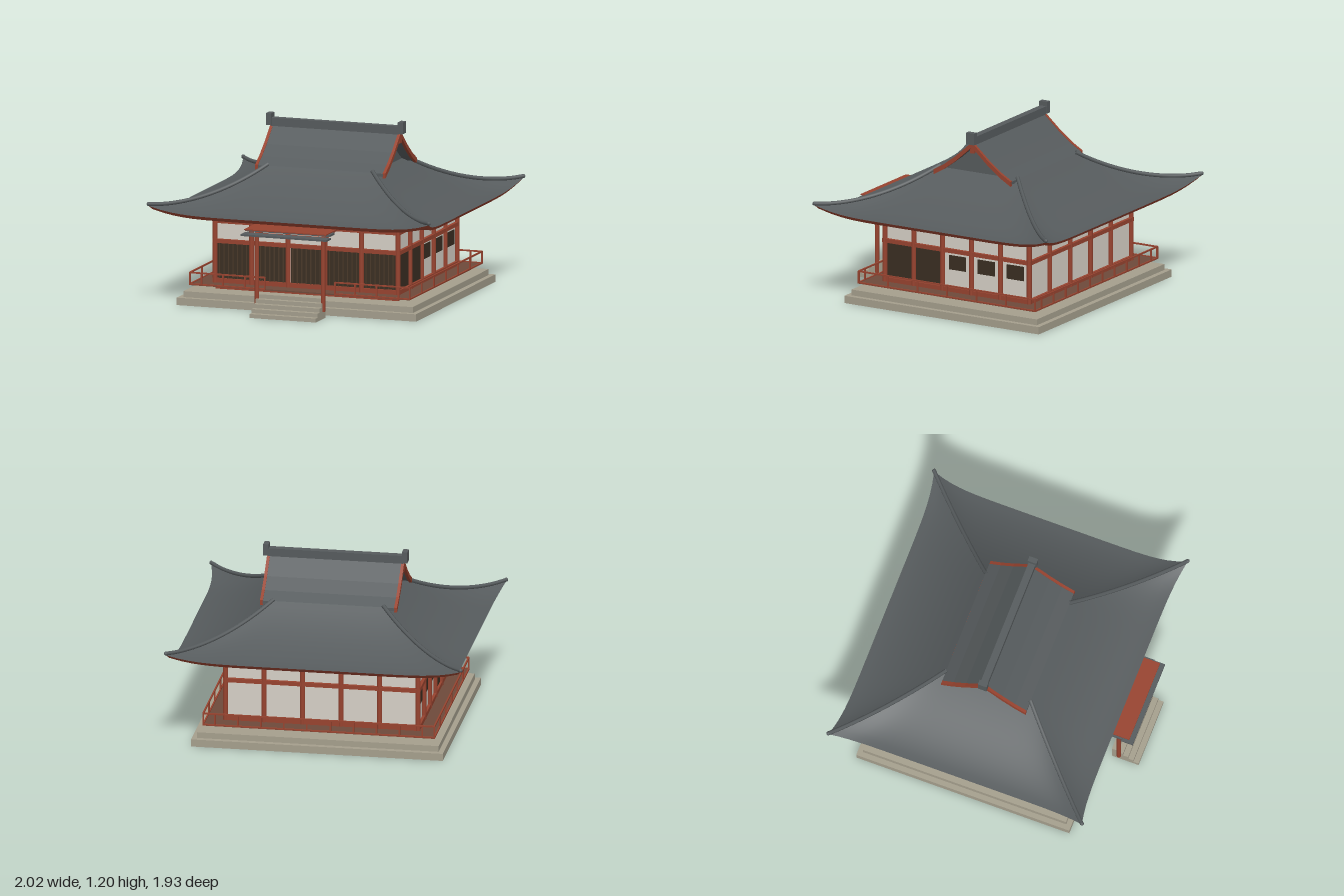
import * as THREE from 'three';

const mat = (name, color, side = THREE.FrontSide) => {
  const m = new THREE.MeshStandardMaterial({ color, side });
  m.name = name;
  return m;
};

export function createModel() {
  const root = new THREE.Group();
  root.name = 'templeHall';
  const hall = new THREE.Group();
  hall.name = 'mainHall';
  hall.position.z = -0.058;
  root.add(hall);

  const red = mat('vermilionWood', 0x98432f, THREE.DoubleSide);
  const tile = mat('roofTile', 0x565b5d, THREE.DoubleSide);
  const plaster = mat('plaster', 0xd6d0c6);
  const dark = mat('darkPanel', 0x3a2e22);
  const bar = mat('latticeBar', 0x4a3929);
  const stone = mat('stone', 0xa59f8d);
  const floor = mat('deckWood', 0x6e4a3a);

  const add = (name, geo, m, parent = hall) => {
    const mesh = new THREE.Mesh(geo, m);
    mesh.name = name;
    parent.add(mesh);
    return mesh;
  };
  // box given by its min and max corners
  const box = (name, m, x0, x1, y0, y1, z0, z1, parent = hall) => {
    const b = add(name, new THREE.BoxGeometry(x1 - x0, y1 - y0, z1 - z0), m, parent);
    b.position.set((x0 + x1) / 2, (y0 + y1) / 2, (z0 + z1) / 2);
    return b;
  };
  const block = (name, m, hx, hz, y0, y1) => box(name, m, -hx, hx, y0, y1, -hz, hz);
  const post = (name, m, x, y0, y1, z, r, parent = hall) => {
    const p = add(name, new THREE.CylinderGeometry(r, r, y1 - y0, 12), m, parent);
    p.position.set(x, (y0 + y1) / 2, z);
  };
  // four beams around a rectangle
  const frame = (name, m, hx, hz, y0, y1, t) => {
    for (const s of [-1, 1]) {
      box(name, m, -hx - t, hx + t, y0, y1, s * hz - t, s * hz + t);
      box(name, m, s * hx - t, s * hx + t, y0, y1, -hz, hz);
    }
  };

  // stone base, plinth and veranda deck
  block('baseLower', stone, 0.85, 0.758, 0, 0.05);
  block('baseUpper', stone, 0.815, 0.722, 0.05, 0.09);
  block('plinth', red, 0.65, 0.557, 0.09, 0.128);
  block('verandaDeck', floor, 0.78, 0.688, 0.127, 0.135);

  // walls, posts and beams
  const HX = 0.65, HZ = 0.5625, bayX = 0.26, bayZ = 0.225;
  block('walls', plaster, HX - 0.008, HZ - 0.008, 0.135, 0.575);
  for (let i = 0; i <= 5; i++) {
    for (const s of [-1, 1]) {
      post('wallPost', red, -HX + i * bayX, 0.13, 0.575, s * HZ, 0.017);
      if (i > 0 && i < 5) post('wallPost', red, s * HX, 0.13, 0.575, -HZ + i * bayZ, 0.017);
    }
  }
  frame('sillBeam', red, HX, HZ, 0.133, 0.165, 0.012);
  frame('middleBeam', red, HX, HZ, 0.403, 0.43, 0.014);
  frame('headBeam', red, HX, HZ, 0.538, 0.572, 0.013);
  block('eaveBeam', red, 0.69, 0.597, 0.568, 0.592);

  // lattice doors along the front
  for (let i = 0; i < 5; i++) {
    const cx = -HX + (i + 0.5) * bayX;
    box('latticeBack', dark, cx - 0.112, cx + 0.112, 0.165, 0.403, HZ - 0.01, HZ - 0.003);
    for (let k = 0; k < 7; k++) {
      const x = cx + (k - 3) * 0.032;
      box('latticeBar', bar, x - 0.004, x + 0.004, 0.165, 0.403, HZ - 0.004, HZ + 0.004);
    }
  }
  // side bays: two dark doors, then three windows
  for (const s of [-1, 1]) {
    for (let i = 0; i < 5; i++) {
      const cz = HZ - (i + 0.5) * bayZ, x = s * (HX - 0.006);
      const [w, y0, y1] = i < 2 ? [0.097, 0.165, 0.403] : [0.066, 0.285, 0.383];
      box(i < 2 ? 'sideDoor' : 'sideWindow', dark, x - 0.004, x + 0.004, y0, y1, cz - w, cz + w);
    }
  }

  // veranda railing, open at the front stairs
  const RX = 0.78, RZ = 0.688, t = 0.005;
  for (const y of [0.135, 0.213]) {
    for (const s of [-1, 1]) {
      box('sideRail', red, s * RX - t, s * RX + t, y - t, y + t, -RZ, RZ);
      box('frontRail', red, s < 0 ? -RX : 0.25, s < 0 ? -0.25 : RX, y - t, y + t, RZ - t, RZ + t);
    }
    box('backRail', red, -RX, RX, y - t, y + t, -RZ - t, -RZ + t);
  }
  const railPost = (x, z) => box('railPost', red, x - t, x + t, 0.13, 0.215, z - t, z + t);
  for (const s of [-1, 1]) {
    for (let i = 0; i <= 6; i++) railPost(s * RX, -RZ + (i * RZ) / 3);
    for (const x of [0.25, 0.39, 0.545, 0.7]) railPost(s * x, RZ);
    for (const x of [0.08, 0.235, 0.39, 0.545, 0.7]) railPost(s * x, -RZ);
  }

  // grid surface from a rule over u in -1..1 and v in 0..1
  const surface = (fn, nu, nv) => {
    const pos = [], idx = [];
    for (let j = 0; j <= nv; j++)
      for (let i = 0; i <= nu; i++) pos.push(...fn((2 * i) / nu - 1, j / nv));
    for (let j = 0; j < nv; j++)
      for (let i = 0; i < nu; i++) {
        const a = j * (nu + 1) + i, b = a + nu + 1;
        idx.push(a, b, a + 1, a + 1, b, b + 1);
      }
    const g = new THREE.BufferGeometry();
    g.setAttribute('position', new THREE.Float32BufferAttribute(pos, 3));
    g.setIndex(idx);
    g.computeVertexNormals();
    return g;
  };
  // a point on side k of a rectangle ring, with corners swept out and up
  const onSide = (k, u, hx, hz, y, flare) => {
    const c = Math.pow(Math.abs(u), 8) * flare;
    const x = hx + 0.04 * c, z = hz + 0.04 * c, h = y + 0.06 * c;
    return [[u * x, h, z], [x, h, -u * z], [-u * x, h, -z], [-x, h, u * z]][k];
  };
  const EX = 0.955, EZ = 0.8625, TX = 0.37, TZ = 0.3;
  const roofPoint = (k, u, v) =>
    onSide(k, u, TX + (EX - TX) * v, TZ + (EZ - TZ) * v, 0.628 + 0.267 * Math.pow(1 - v, 1.7), v * v);

  // lower hipped roof with fascia and soffit
  for (let k = 0; k < 4; k++) {
    add('lowerRoof', surface((u, v) => roofPoint(k, u, v), 32, 14), tile);
    add('fascia', surface((u, v) => onSide(k, u, EX - 0.02 * v, EZ - 0.02 * v, 0.628 - 0.024 * v, 1), 32, 1), red);
    add('soffit', surface((u, v) => {
      const w = 1 - v;
      return onSide(k, u, 0.66 + 0.275 * w, 0.57 + 0.2725 * w, 0.604 - 0.012 * v, w * w);
    }, 32, 8), red);
  }
  // hip ridges
  for (let k = 0; k < 4; k++) {
    const pts = [];
    for (let i = 0; i <= 10; i++) {
      const p = roofPoint(k, 1, i / 10);
      pts.push(new THREE.Vector3(p[0], p[1] + 0.012, p[2]));
    }
    add('hipRidge', new THREE.TubeGeometry(new THREE.CatmullRomCurve3(pts), 24, 0.014, 6), tile);
    const tip = add('hipRidgeTip', new THREE.SphereGeometry(0.014, 8, 6), tile);
    tip.position.copy(pts[10]);
  }

  // upper gable roof: curved cross-section run along x
  const outline = [[-0.3, 0.893], [-0.22, 0.94], [-0.13, 1.007], [0, 1.122], [0.13, 1.007], [0.22, 0.94], [0.3, 0.893]];
  const gable = (name, m, lift, drop, x0, x1) => {
    const top = outline.map(([z, y]) => new THREE.Vector2(z, y + lift));
    const low = drop ? outline.map(([z, y]) => new THREE.Vector2(z, y + lift - drop)).reverse()
      : [new THREE.Vector2(0.3, 0.86), new THREE.Vector2(-0.3, 0.86)];
    const g = new THREE.ExtrudeGeometry(new THREE.Shape([...top, ...low]), { depth: x1 - x0, bevelEnabled: false });
    g.rotateY(Math.PI / 2);
    g.translate(x0, 0, 0);
    add(name, g, m);
  };
  gable('upperRoof', tile, 0, 0.02, -0.445, 0.445);
  gable('gableWall', tile, -0.01, 0, -0.37, 0.37);
  for (const s of [-1, 1]) {
    gable('bargeBoard', red, 0.004, 0.034, s * 0.453 - 0.01, s * 0.453 + 0.01);
    box('gablePendant', red, s * 0.453 - 0.009, s * 0.453 + 0.009, 1.05, 1.12, -0.016, 0.016);
    box('ridgeEnd', tile, s * 0.468 - 0.018, s * 0.468 + 0.018, 1.115, 1.195, -0.031, 0.031);
  }
  box('mainRidge', tile, -0.455, 0.455, 1.11, 1.165, -0.024, 0.024);

  // entrance porch
  const porch = new THREE.Group();
  porch.name = 'porch';
  root.add(porch);
  for (const s of [-1, 1]) {
    post('porchPost', red, s * 0.235, 0.05, 0.55, 0.82, 0.015, porch);
    const arm = add('porchBeam', new THREE.BoxGeometry(0.026, 0.026, 0.33), red, porch);
    arm.position.set(s * 0.235, 0.562, 0.665);
    arm.rotation.x = 0.13;
  }
  box('porchLintel', red, -0.25, 0.25, 0.53, 0.552, 0.808, 0.832, porch);
  box('porchRoofBoard', red, -0.29, 0.29, 0.583, 0.59, 0.56, 0.915, porch);
  box('porchRoofUpperTile', tile, -0.302, 0.302, 0.568, 0.582, 0.78, 0.87, porch);
  box('porchRoofLowerTile', tile, -0.305, 0.305, 0.548, 0.56, 0.86, 0.945, porch);

  // stone stairs
  for (let i = 0; i < 5; i++)
    box('stairStep', stone, -0.235, 0.235, i * 0.027, (i + 1) * 0.027, 0.77, 0.96 - i * 0.037, root);

  return root;
}
